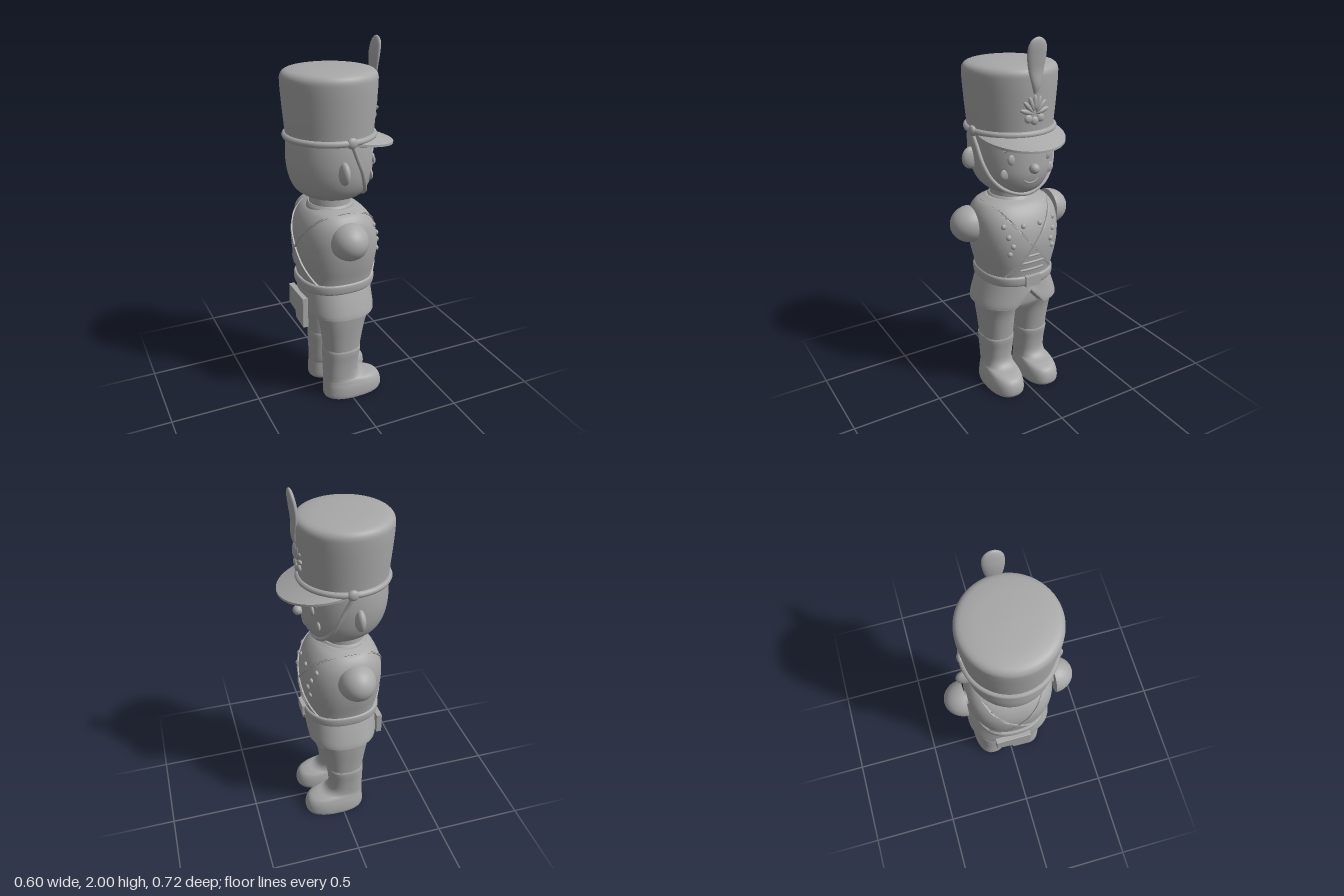
import * as THREE from 'three';
import { toCreasedNormals } from 'three/addons/utils/BufferGeometryUtils.js';

const grey = new THREE.MeshStandardMaterial({ color: 0xa8a8a8, side: THREE.DoubleSide });
grey.name = 'grey';

// Rings are [y, xBack, xFront, zMin, zMax]; a missing zMax mirrors zMin.
const full = (r) => (r.length === 4 ? [r[0], r[1], r[2], -r[3], r[3]] : r);

// Smooth closed loft through superelliptic rings, with separate flat caps.
function loft(rings, { p = 2, seg = 56, sub = 5, warp } = {}) {
  const R = rings.map(full);
  const a = new THREE.CatmullRomCurve3(R.map((r) => new THREE.Vector3(r[0], r[1], r[2])));
  const b = new THREE.CatmullRomCurve3(R.map((r) => new THREE.Vector3(r[3], r[4], r[0])));
  const rows = (R.length - 1) * sub, pos = [], idx = [];
  const pw = (v) => Math.sign(v) * Math.abs(v) ** (2 / p);
  for (let j = 0; j <= rows; j++) {
    const u = a.getPoint(j / rows), w = b.getPoint(j / rows);
    for (let i = 0; i < seg; i++) {
      const t = (i / seg) * Math.PI * 2;
      const v = [(u.y + u.z) / 2 + ((u.z - u.y) / 2) * pw(Math.cos(t)), u.x,
        (w.x + w.y) / 2 - ((w.y - w.x) / 2) * pw(Math.sin(t))];
      if (warp) warp(v);
      pos.push(...v);
    }
  }
  for (let j = 0; j < rows; j++) for (let i = 0; i < seg; i++) {
    const k = (i + 1) % seg, l = j * seg, h = l + seg;
    idx.push(l + i, l + k, h + k, l + i, h + k, h + i);
  }
  for (const row of [0, rows]) {
    const s = pos.length / 3, c = [0, 0, 0];
    for (let i = 0; i < seg; i++) for (let d = 0; d < 3; d++) {
      const v = pos[(row * seg + i) * 3 + d];
      pos.push(v);
      c[d] += v / seg;
    }
    pos.push(...c);
    for (let i = 0; i < seg; i++) {
      const k = (i + 1) % seg;
      row ? idx.push(s + seg, s + i, s + k) : idx.push(s + seg, s + k, s + i);
    }
  }
  return build(pos, idx);
}

function build(pos, idx) {
  const g = new THREE.BufferGeometry();
  g.setAttribute('position', new THREE.Float32BufferAttribute(pos, 3));
  g.setIndex(idx);
  g.computeVertexNormals();
  return g;
}

// Sweep a closed cross-section given by section(t) -> four points.
function sweep(n, section) {
  const pos = [], idx = [];
  for (let j = 0; j <= n; j++) section(j / n).forEach((q) => pos.push(...q));
  for (let j = 0; j < n; j++) for (let i = 0; i < 4; i++) {
    const k = (i + 1) % 4, l = j * 4;
    idx.push(l + i, l + k, l + 4 + k, l + i, l + 4 + k, l + 4 + i);
  }
  idx.push(0, 2, 1, 0, 3, 2, n * 4, n * 4 + 1, n * 4 + 2, n * 4, n * 4 + 2, n * 4 + 3);
  return toCreasedNormals(build(pos, idx), 0.7);
}

// Surface x of a lofted body at height y and side offset z.
function surfaceX(rings, y, z, p, side = 1) {
  const R = rings.map(full);
  let i = 0;
  while (i < R.length - 2 && R[i + 1][0] < y) i++;
  const t = THREE.MathUtils.clamp((y - R[i][0]) / (R[i + 1][0] - R[i][0]), 0, 1);
  const m = R[i].map((v, k) => v + (R[i + 1][k] - v) * t);
  const f = Math.max(0, 1 - Math.min(1, Math.abs(z / m[4])) ** p) ** (1 / p);
  return (m[1] + m[2]) / 2 + (side * (m[2] - m[1]) / 2) * f;
}

const TORSO = [[0.69, -0.225, 0.168, 0.193], [0.76, -0.23, 0.178, 0.207], [0.84, -0.243, 0.192, 0.226],
  [0.92, -0.25, 0.198, 0.238], [1, -0.247, 0.187, 0.24], [1.07, -0.225, 0.157, 0.228],
  [1.12, -0.19, 0.115, 0.195], [1.145, -0.15, 0.07, 0.14]];
const HEAD = [[1.18, -0.13, 0.08, 0.09], [1.2, -0.18, 0.125, 0.14], [1.24, -0.235, 0.155, 0.18],
  [1.3, -0.265, 0.175, 0.207], [1.38, -0.28, 0.178, 0.222], [1.46, -0.28, 0.175, 0.225], [1.54, -0.275, 0.17, 0.22]];

export function createModel() {
  const model = new THREE.Group();
  model.name = 'toySoldier';
  const add = (name, geo, x = 0, y = 0, z = 0) => {
    const m = new THREE.Mesh(geo, grey);
    m.name = name;
    m.position.set(x, y, z);
    model.add(m);
    return m;
  };
  const ball = (name, r, x, y, z, sx = 1, sy = 1, sz = 1) =>
    add(name, new THREE.SphereGeometry(r, 24, 16), x, y, z).scale.set(sx, sy, sz);
  const tube = (name, pts, r, closed = false) =>
    add(name, new THREE.TubeGeometry(new THREE.CatmullRomCurve3(pts.map((q) => new THREE.Vector3(...q)), closed), 64, r, 8, closed));
  const face = (y, z, d = 0) => [surfaceX(HEAD, y, z, 2) + d, y, z];
  const chest = (y, z, d = 0) => [surfaceX(TORSO, y, z, 2.4) + d, y, z];

  // Body, collar, coat skirt with an open front, belt
  add('torso', loft(TORSO, { p: 2.4 }));
  add('neck', loft([[1.11, -0.16, 0.06, 0.115], [1.16, -0.16, 0.06, 0.112], [1.22, -0.15, 0.06, 0.11]]));
  add('collar', loft([[1.12, -0.18, 0.09, 0.13], [1.14, -0.175, 0.08, 0.128], [1.155, -0.165, 0.068, 0.118]]));
  add('coatSkirt', loft([[0.54, -0.225, 0.175, 0.246], [0.56, -0.227, 0.176, 0.242], [0.62, -0.225, 0.171, 0.222], [0.7, -0.222, 0.166, 0.192]], {
    p: 2.4, seg: 96,
    warp: (v) => {
      if (v[0] > 0 && v[1] < 0.68) v[1] += (Math.max(0, 0.1 - Math.abs(v[2]) * 1.1) * (0.68 - v[1])) / 0.14;
    },
  }));
  add('belt', loft([[0.68, -0.235, 0.178, 0.202], [0.688, -0.241, 0.185, 0.207], [0.728, -0.242, 0.188, 0.209], [0.736, -0.236, 0.182, 0.203]], { p: 2.4 }));
  add('buckle', new THREE.BoxGeometry(0.025, 0.06, 0.09), 0.186, 0.708, 0);

  // Crossed straps, front and back
  for (const s of [1, -1]) for (const side of [1, -1]) {
    const at = (y, z, d) => [surfaceX(TORSO, y, z, 2.4, side) + side * d, y, z];
    add(side > 0 ? 'frontStrap' : 'backStrap', sweep(24, (t) => {
      const y = 1.125 - 0.38 * t, z = s * (0.165 - 0.3 * t);
      const dy = 0.011, dz = s * 0.015;
      return [at(y + dy, z + dz, -0.015), at(y + dy, z + dz, 0.009), at(y - dy, z - dz, 0.009), at(y - dy, z - dz, -0.015)];
    }));
  }

  // Coat buttons and braid bars
  for (const y of [0.775, 0.82, 0.86]) {
    tube('braid', [-0.07, -0.035, 0, 0.035, 0.07].map((z) => chest(y, z * (y > 0.85 ? 0.6 : 1), 0.001)), 0.007);
  }
  for (const s of [1, -1]) {
    for (const [y, z] of [[1.035, 0.15], [0.98, 0.135], [0.93, 0.115], [0.885, 0.13], [1.03, 0.05]]) {
      ball('button', 0.015, ...chest(y, s * z), 0.8);
    }
  }

  // Arm stubs, flat on the inside
  for (const s of [1, -1]) {
    const arm = add('arm', new THREE.SphereGeometry(0.101, 40, 16, 0, Math.PI * 2, 0, Math.PI / 2), -0.05, 1.01, s * 0.246);
    arm.rotation.x = (s * Math.PI) / 2;
    arm.scale.y = 1.12;
    const cut = add('armCut', new THREE.CircleGeometry(0.101, 40), -0.05, 1.01, s * 0.246);
    if (s > 0) cut.rotation.y = Math.PI;
    const peg = add('armPeg', new THREE.CylinderGeometry(0.04, 0.04, 0.05, 20), -0.05, 1.01, s * 0.228);
    peg.rotation.x = Math.PI / 2;
  }

  // Hips, trousers and boots
  add('hips', loft([[0.5, -0.15, 0.11, 0.16], [0.54, -0.17, 0.13, 0.2], [0.66, -0.18, 0.14, 0.19]], { p: 2.4 }));
  for (const s of [1, -1]) {
    const leg = (rings) => rings.map(([y, a, b, c, d]) => (s > 0 ? [y, a, b, c, d] : [y, a, b, -d, -c]));
    add('trouserLeg', loft(leg([[0.29, -0.132, 0.072, 0.018, 0.2], [0.38, -0.143, 0.085, 0.015, 0.208],
      [0.47, -0.157, 0.102, 0.01, 0.218], [0.55, -0.175, 0.13, 0, 0.225]]), { p: 2.3 }));
    add('boot', loft(leg([[0, -0.138, 0.205, 0.018, 0.214], [0.015, -0.14, 0.212, 0.014, 0.217], [0.06, -0.138, 0.208, 0.016, 0.214],
      [0.09, -0.137, 0.19, 0.022, 0.206], [0.107, -0.136, 0.15, 0.026, 0.2], [0.12, -0.136, 0.095, 0.027, 0.195],
      [0.15, -0.136, 0.068, 0.025, 0.194], [0.22, -0.137, 0.066, 0.02, 0.198], [0.3, -0.137, 0.077, 0.014, 0.206], [0.312, -0.134, 0.074, 0.017, 0.203]]), { p: 2.4 }));
  }

  // Stepped pouch hanging at the back
  const pouch = new THREE.Shape([[-0.08, 0.46], [0.02, 0.47], [0.03, 0.51], [0.12, 0.52], [0.12, 0.63], [-0.08, 0.63]].map((q) => new THREE.Vector2(...q)));
  const pouchGeo = new THREE.ExtrudeGeometry(pouch, { depth: 0.025, bevelSize: 0.004, bevelThickness: 0.004, bevelSegments: 2 });
  add('pouch', pouchGeo, -0.222, 0, 0).rotation.y = Math.PI / 2;
  model.children.at(-1).position.x = -0.246;

  // Head, ears and face
  add('head', loft(HEAD));
  for (const s of [1, -1]) {
    ball('ear', 0.06, -0.068, 1.37, s * 0.225, 0.45, 1, 0.85);
    ball('eye', 0.027, ...face(1.395, s * 0.105, -0.004), 0.45, 1.05, 0.9);
    ball('cheek', 0.03, ...face(1.315, s * 0.13, -0.004), 0.4);
    tube('eyebrow', [face(1.435, s * 0.14), face(1.455, s * 0.11), face(1.447, s * 0.075)], 0.007);
  }
  ball('nose', 0.027, 0.194, 1.345, 0);
  tube('mouth', [-0.045, -0.025, 0, 0.025, 0.045].map((z) => face(1.262 + z * z * 9, z)), 0.006);
  const strap = [[-0.03, 1.52, 0.236], [0, 1.45, 0.225], [0.04, 1.36, 0.212], [0.07, 1.28, 0.178], [0.1, 1.22, 0.115]];
  tube('chinStrap', [...strap, [0.118, 1.186, 0], ...strap.map(([x, y, z]) => [x, y, -z]).reverse()], 0.011);

  // Tall hat with cord, side knobs and visor
  add('hat', loft([[1.495, -0.276, 0.178, 0.223], [1.54, -0.28, 0.182, 0.226], [1.67, -0.292, 0.193, 0.238], [1.79, -0.3, 0.2, 0.246],
    [1.825, -0.298, 0.198, 0.244], [1.846, -0.283, 0.183, 0.23], [1.86, -0.235, 0.135, 0.182], [1.868, -0.13, 0.03, 0.08], [1.87, -0.06, -0.04, 0.01]]));
  tube('hatCord', Array.from({ length: 24 }, (_, i) => {
    const a = (i / 24) * Math.PI * 2;
    return [-0.049 + 0.231 * Math.cos(a), 1.522, 0.228 * Math.sin(a)];
  }), 0.017, true);
  for (const s of [1, -1]) ball('hatKnob', 0.029, -0.028, 1.523, s * 0.233, 1, 1, 0.6);
  add('visor', sweep(40, (t) => {
    const a = (t - 0.5) * Math.PI, c = Math.cos(a), z = Math.sin(a);
    const ox = 0.045 + 0.253 * c, oy = 1.502 - 0.04 * c;
    const inner = [-0.03 + 0.2 * c, 0, 0.215 * z];
    return [[inner[0], 1.525, inner[2]], [ox, oy + 0.006, 0.232 * z], [ox, oy - 0.006, 0.232 * z], [inner[0], 1.5, inner[2]]];
  }));

  // Leaf ornament and plume on the hat front
  for (const a of [-1.25, -0.75, -0.35, 0, 0.35, 0.75, 1.25]) {
    const len = 0.1 - Math.abs(a) * 0.018;
    const z = Math.sin(a) * len * 0.62, y = 1.625 + Math.cos(a) * len * 0.62;
    ball('ornamentLeaf', 0.04, 0.193 - z * z * 2.2, y, z, 0.28, 0.95, 0.32);
    model.children.at(-1).rotation.x = a;
  }
  for (const z of [-0.035, 0, 0.035]) ball('ornamentBud', 0.022, 0.19 - z * z * 2, 1.605 - (z ? 0 : 0.012), z, 0.6);
  add('plume', loft([[1.73, 0.19, 0.207, 0.012], [1.77, 0.188, 0.216, 0.024], [1.84, 0.182, 0.214, 0.042], [1.91, 0.184, 0.221, 0.053],
    [1.96, 0.194, 0.226, 0.05], [1.985, 0.202, 0.225, 0.036], [1.997, 0.209, 0.221, 0.017], [2, 0.214, 0.216, 0.003]], { seg: 24 }));
  return model;
}
